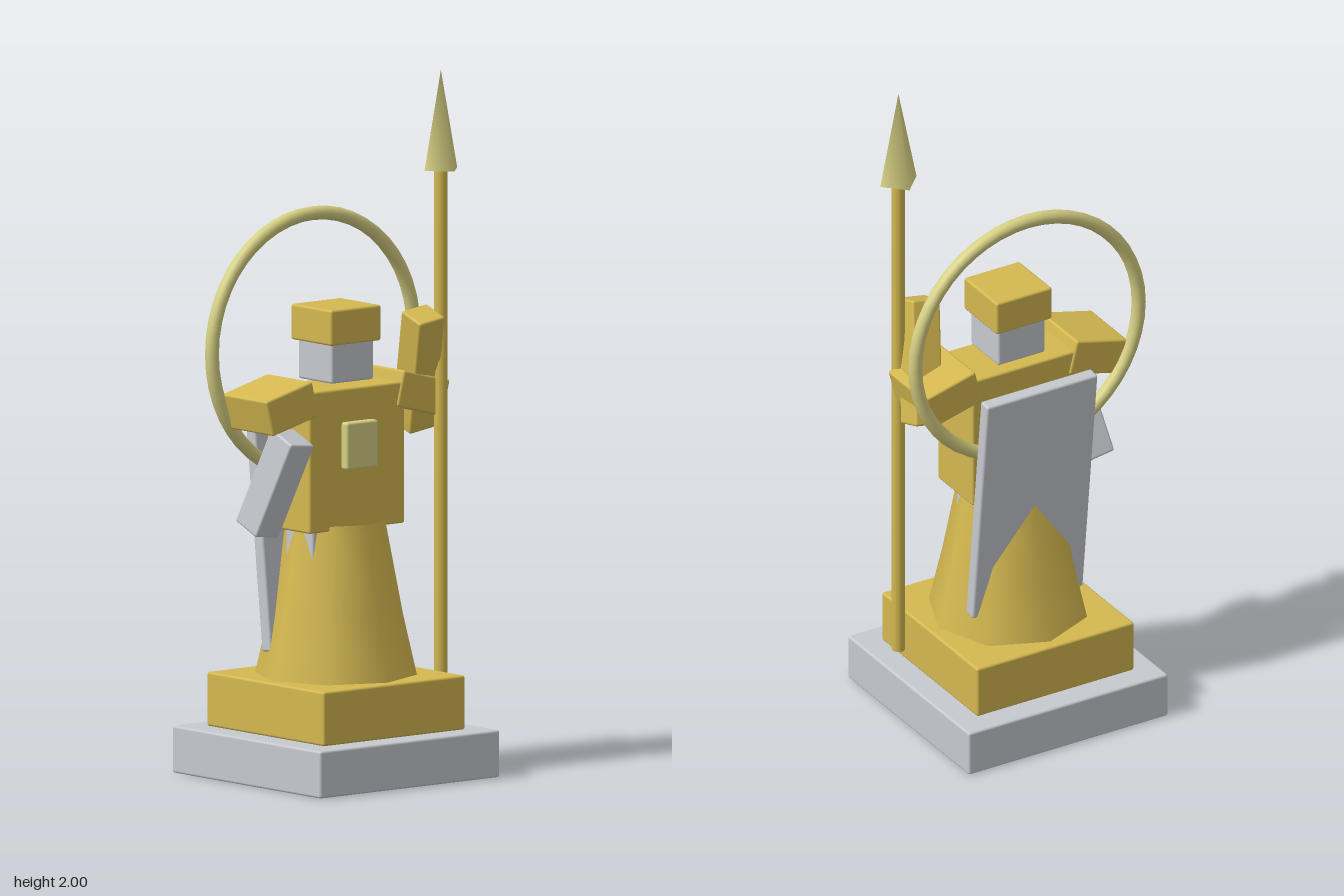
import * as THREE from 'three';
import { RoundedBoxGeometry } from 'three/addons/geometries/RoundedBoxGeometry.js';

const material = (name, color, side = THREE.FrontSide) => {
  const m = new THREE.MeshStandardMaterial({ color, side });
  m.name = name;
  return m;
};

export function createModel() {
  const gold = material('gold', 0xd4b850, THREE.DoubleSide);
  const paleGold = material('pale gold', 0xd6d083);
  const silver = material('silver', 0xc6c9ce);

  const model = new THREE.Group();
  model.name = 'statue';

  const add = (name, geometry, mat, position, rotation = [0, 0, 0]) => {
    const mesh = new THREE.Mesh(geometry, mat);
    mesh.name = name;
    mesh.position.set(...position);
    mesh.rotation.set(...rotation);
    model.add(mesh);
    return mesh;
  };
  // Box with a narrow bevel
  const box = (name, size, mat, position, rotation) =>
    add(name, new RoundedBoxGeometry(...size, 2, 0.007), mat, position, rotation);

  // Stepped pedestal
  box('pedestalBase', [0.66, 0.135, 0.66], silver, [0, 0.0675, 0]);
  box('pedestalTop', [0.52, 0.155, 0.52], gold, [0, 0.2125, 0]);

  // Eight-sided flared skirt, open at the top
  const profile = [[0.23, 0.29], [0.19, 0.465], [0.14, 0.73]].map(p => new THREE.Vector2(...p));
  add('skirt', new THREE.LatheGeometry(profile, 8), gold, [0, 0, 0]);

  // Legs and shoulder plates, mirrored
  for (const [side, s] of [['left', 1], ['right', -1]]) {
    box(side + 'Leg', [0.11, 0.44, 0.12], silver, [s * 0.08, 0.51, 0]);
    box(side + 'Shoulder', [0.175, 0.105, 0.2], gold, [s * 0.24, 1.08, 0], [0, 0, -s * 0.25]);
  }

  // Torso, chest emblem, head and helmet
  box('torso', [0.35, 0.405, 0.19], gold, [0, 0.9175, 0]);
  box('chestEmblem', [0.115, 0.135, 0.035], paleGold, [0, 0.957, 0.102]);
  box('head', [0.155, 0.12, 0.15], silver, [0, 1.193, 0]);
  box('helmet', [0.184, 0.102, 0.18], gold, [0, 1.295, 0]);

  // Lowered right arm and raised left arm
  box('rightArm', [0.09, 0.3, 0.1], silver, [-0.245, 0.86, 0.025], [0.4, 0, -0.12]);
  box('leftArm', [0.09, 0.36, 0.09], gold, [0.258, 1.142, 0.053], [0.34, 0, 0.17]);

  // Cape leaning back at the top
  box('cape', [0.366, 0.73, 0.04], silver, [0, 0.722, -0.13], [-0.112, 0, 0]);

  // Halo ring behind the head
  add('halo', new THREE.TorusGeometry(0.37, 0.02, 12, 48), paleGold, [0, 1.225, -0.103]);

  // Spear
  add('spearShaft', new THREE.CylinderGeometry(0.019, 0.019, 1.53, 12), gold, [0.302, 0.96, 0.1]);
  add('spearTip', new THREE.ConeGeometry(0.06, 0.285, 4), paleGold, [0.302, 1.8575, 0.1]);

  return model;
}
